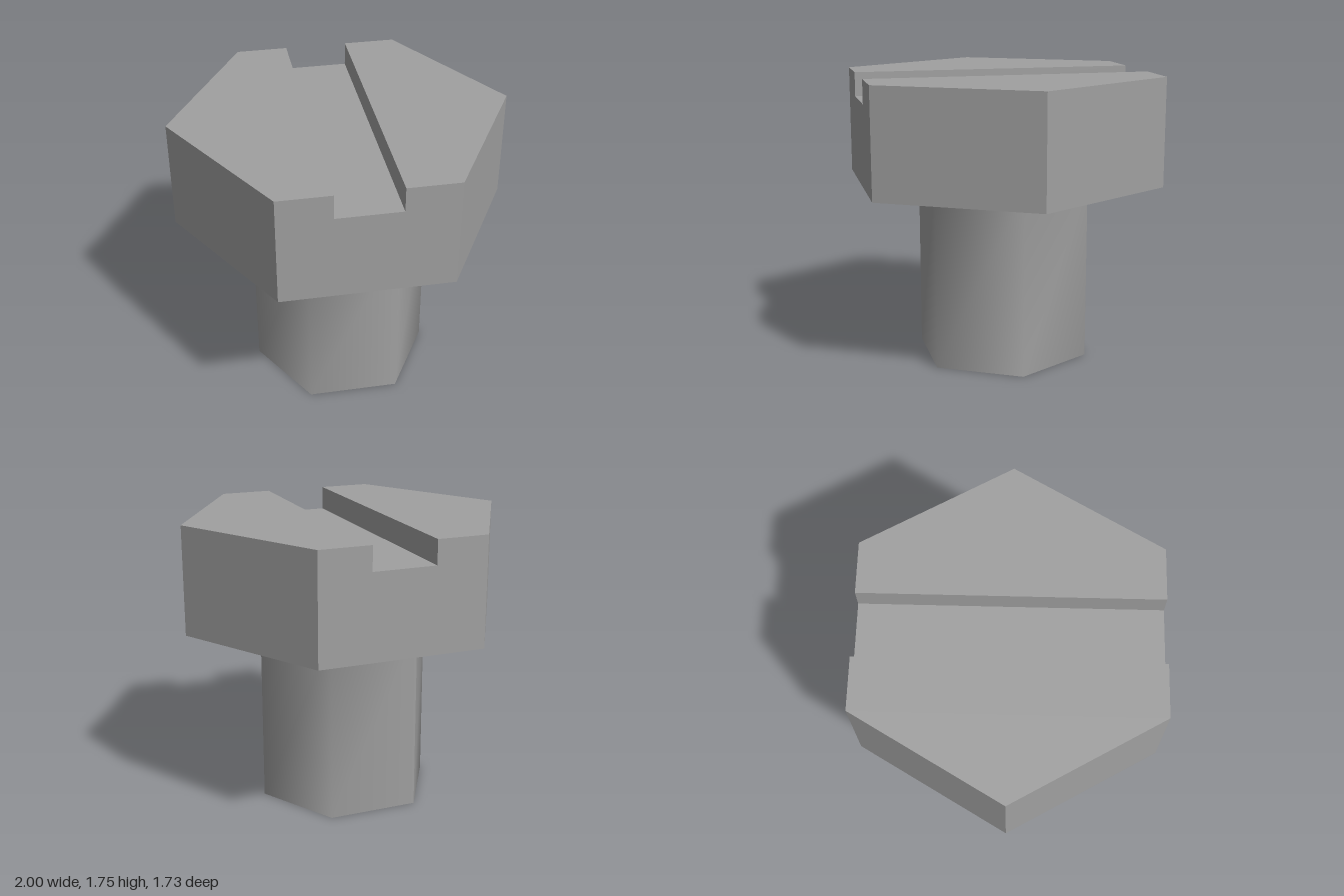
import * as THREE from 'three';

const HEX = Math.sqrt(3);
const HEAD_BOTTOM = 1.1, HEAD_TOP = 1.755;
const SLOT_FLOOR = 1.61, SLOT_HALF = 0.19;
const SHAFT_RADIUS = 0.543;

// Slotted hexagonal head, swept in strips from one corner to the opposite one
function headGeometry() {
  const points = [];
  const quad = (a, b, c, d) => [a, b, c, a, c, d].forEach((p) => points.push(...p));
  const depth = (x) => Math.min(HEX / 2, (1 - Math.abs(x)) * HEX);
  const stations = [-1, -0.5, -SLOT_HALF, SLOT_HALF, 0.5, 1];

  for (let i = 0; i < stations.length - 1; i++) {
    const l = stations[i], r = stations[i + 1];
    const zl = depth(l), zr = depth(r);
    const top = i === 2 ? SLOT_FLOOR : HEAD_TOP;
    const b = HEAD_BOTTOM;
    quad([l, b, zl], [r, b, zr], [r, top, zr], [l, top, zl]);         // front
    quad([r, b, -zr], [l, b, -zl], [l, top, -zl], [r, top, -zr]);     // back
    quad([l, top, zl], [r, top, zr], [r, top, -zr], [l, top, -zl]);   // top
    quad([l, b, -zl], [r, b, -zr], [r, b, zr], [l, b, zl]);           // underside
  }

  // Slot walls, facing each other
  for (const side of [-1, 1]) {
    const x = side * SLOT_HALF, z = -side * depth(x);
    quad([x, SLOT_FLOOR, z], [x, SLOT_FLOOR, -z], [x, HEAD_TOP, -z], [x, HEAD_TOP, z]);
  }

  const geometry = new THREE.BufferGeometry();
  geometry.setAttribute('position', new THREE.Float32BufferAttribute(points, 3));
  geometry.computeVertexNormals();
  return geometry;
}

export function createModel() {
  const model = new THREE.Group();
  model.name = 'slottedHexBolt';

  const steel = new THREE.MeshStandardMaterial({ color: 0xa0a0a0 });
  steel.name = 'steel';

  const add = (name, geometry) => {
    const mesh = new THREE.Mesh(geometry, steel);
    mesh.name = name;
    model.add(mesh);
  };

  add('head', headGeometry());

  // Six-sided shaft with smooth shading and a seam at one back corner
  const shaft = new THREE.CylinderGeometry(
    SHAFT_RADIUS, SHAFT_RADIUS, HEAD_BOTTOM, 6, 1, true, Math.PI * 7 / 6
  );
  shaft.translate(0, HEAD_BOTTOM / 2, 0);
  shaft.computeVertexNormals();
  add('shaft', shaft);

  // Flat end of the shaft
  add('shaftEnd', new THREE.CircleGeometry(SHAFT_RADIUS, 6).rotateX(Math.PI / 2));

  return model;
}
